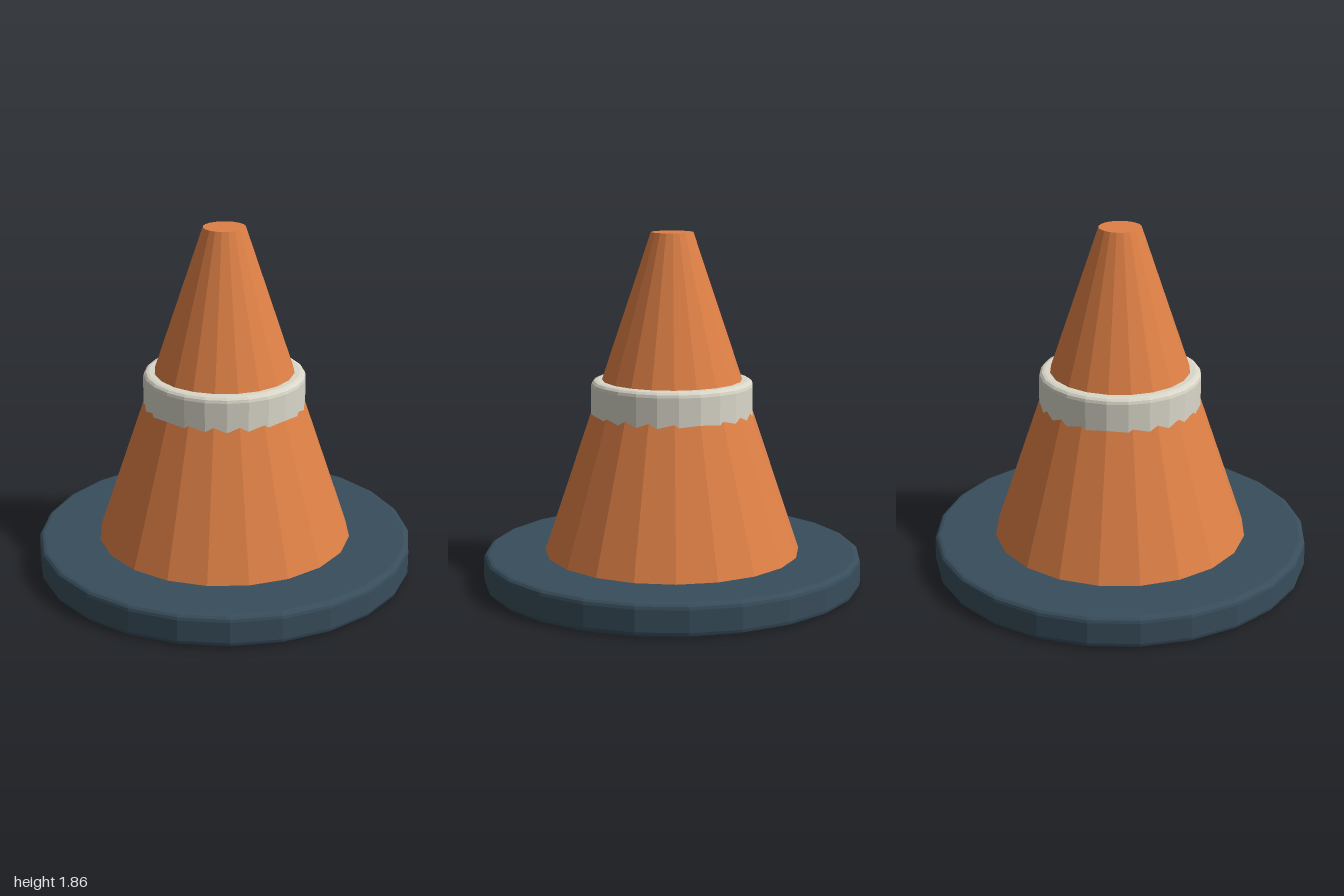
import * as THREE from 'three';

const orange = new THREE.MeshStandardMaterial({ color: 0xdf8046 });
const slate = new THREE.MeshStandardMaterial({ color: 0x384d5b });
const cream = new THREE.MeshStandardMaterial({ color: 0xdad7c9 });
orange.name = 'orange';
slate.name = 'slate';
cream.name = 'cream';

// Faceted solid of revolution; profile runs from bottom centre to top centre
function turned(name, profile, sides, material) {
  const points = profile.map(([r, y]) => new THREE.Vector2(r, y));
  const geometry = new THREE.LatheGeometry(points, sides).toNonIndexed();
  geometry.computeVertexNormals();
  const mesh = new THREE.Mesh(geometry, material);
  mesh.name = name;
  return mesh;
}

// Disc profile with rounded rims
function roundedDisc(radius, bottom, top, bevel, steps = 3) {
  const profile = [[0, bottom]];
  for (const [cy, start] of [[bottom + bevel, -Math.PI / 2], [top - bevel, 0]]) {
    for (let i = 0; i <= steps; i++) {
      const a = start + (i / steps) * Math.PI / 2;
      profile.push([radius - bevel + bevel * Math.cos(a), cy + bevel * Math.sin(a)]);
    }
  }
  profile.push([0, top]);
  return profile;
}

export function createModel() {
  const model = new THREE.Group();
  model.name = 'trafficCone';

  // Round foot plate
  model.add(turned('base', roundedDisc(1, 0, 0.172, 0.03), 24, slate));

  // Tapered body with a flat tip
  model.add(turned('coneBody', [[0, 0.165], [0.677, 0.165], [0.11, 1.855], [0, 1.855]], 20, orange));

  // Pale band; its lower rim is buried in the body
  model.add(turned('band', roundedDisc(0.425, 0.85, 1.088, 0.03), 24, cream));

  return model;
}
